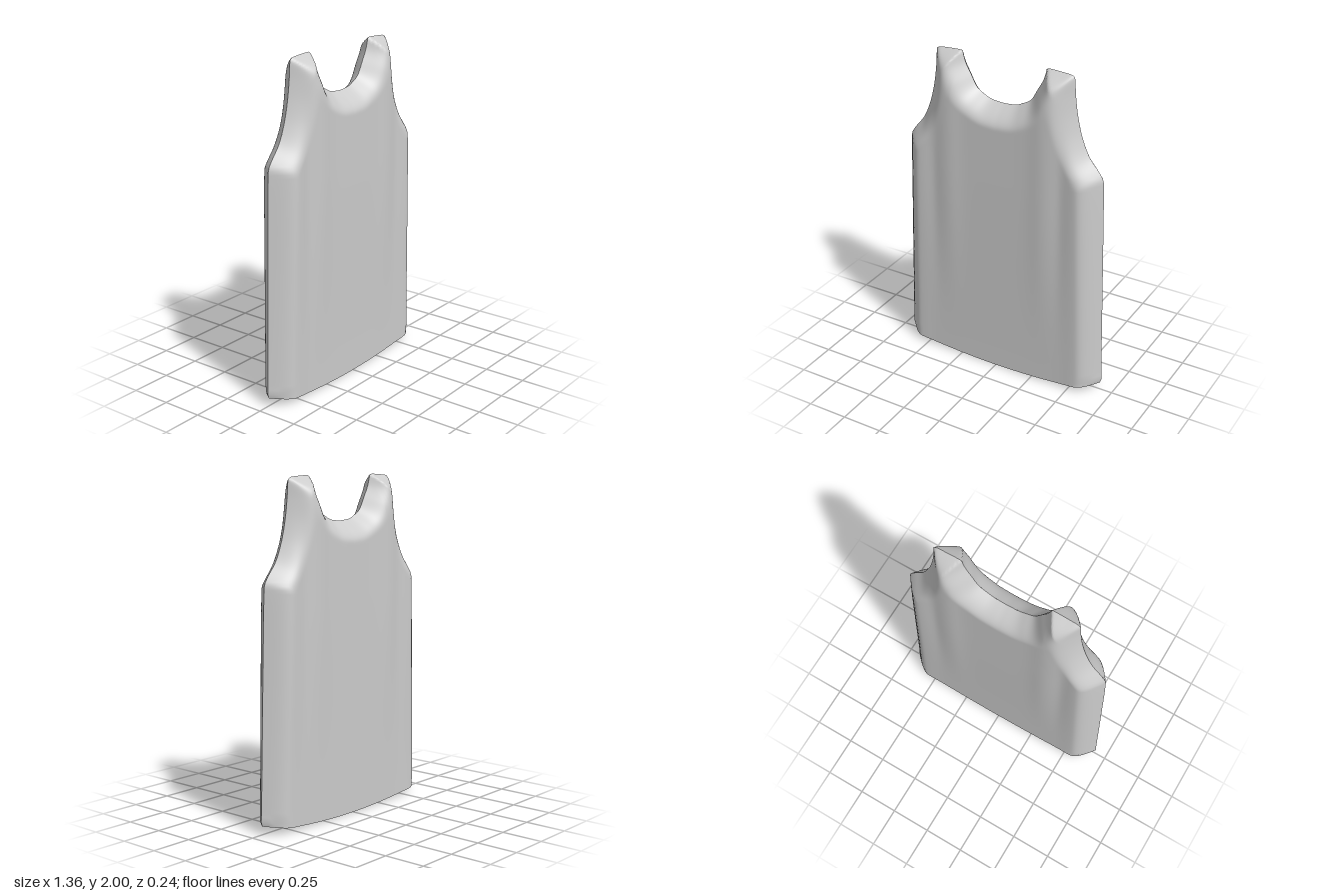
import * as THREE from 'three';

const curve = (pts) => new THREE.CatmullRomCurve3(
  pts.map(([x, y]) => new THREE.Vector3(x, y, 0)), false, 'centripetal');

// Outline of one half: neckline with shoulder, and side seam with armhole
const top = curve([[0, 1.735], [0.08, 1.743], [0.12, 1.76], [0.17, 1.79], [0.215, 1.865],
  [0.25, 1.93], [0.265, 1.98], [0.27, 1.998], [0.285, 2], [0.36, 1.997], [0.425, 1.99], [0.44, 1.98]]);
const side = curve([[0.67, 0.05], [0.679, 0.065], [0.677, 0.1], [0.658, 0.75], [0.638, 1.37], [0.634, 1.41],
  [0.605, 1.455], [0.545, 1.53], [0.5, 1.63], [0.468, 1.75], [0.45, 1.87], [0.443, 1.96], [0.44, 1.98]]);
const hem = (u) => new THREE.Vector3(0.67 * u, 0.002 + 0.048 * u * u, 0);
const middle = (v) => new THREE.Vector3(0, 0.002 + 1.733 * v, 0);

const topLine = top.getSpacedPoints(120);
const sideLine = side.getSpacedPoints(200);

// Shortest distance from a point to a polyline
function distance(p, line) {
  const q = new THREE.Vector3(), seg = new THREE.Line3();
  let best = Infinity;
  for (let i = 1; i < line.length; i++) {
    seg.set(line[i - 1], line[i]).closestPointToPoint(p, true, q);
    best = Math.min(best, p.distanceToSquared(q));
  }
  return Math.max(Math.sqrt(best), 1e-6);
}

// Puffed depth: rounds down to the seams, with soft vertical folds
function depth(p) {
  const a = distance(p, sideLine), b = distance(p, topLine);
  const d = Math.pow(a ** -4 + b ** -4, -0.25);
  const puff = Math.sin(Math.PI / 2 * Math.min(1, d / 0.125));
  const fade = THREE.MathUtils.smoothstep(p.y, 0.1, 1.3);
  const bump = (x, w) => Math.exp(-(((p.x - x) / w) ** 2));
  const full = 0.103 + 0.009 * fade + fade * (0.007 * bump(0.3, 0.07) - 0.007 * bump(0.42, 0.05))
    + 0.003 * bump(0.53, 0.06);
  return full * puff;
}

// Blend the four borders of the half panel into a grid of points
const NU = 44, NV = 90;
const ease = (t) => 0.4 * t + 0.6 * Math.sin(t * Math.PI / 2);
function halfGrid() {
  const grid = [];
  const c00 = hem(0), c10 = hem(1), c01 = middle(1), c11 = top.getPointAt(1);
  for (let j = 0; j <= NV; j++) {
    const v = ease(j / NV), row = [];
    const m = middle(v), s = side.getPointAt(v);
    for (let i = 0; i <= NU; i++) {
      const u = ease(i / NU);
      const p = hem(u).multiplyScalar(1 - v).addScaledVector(top.getPointAt(u), v)
        .addScaledVector(m, 1 - u).addScaledVector(s, u)
        .addScaledVector(c00, -(1 - u) * (1 - v)).addScaledVector(c10, -u * (1 - v))
        .addScaledVector(c01, -(1 - u) * v).addScaledVector(c11, -u * v);
      p.z = depth(p);
      row.push(p);
    }
    grid.push(row);
  }
  return grid;
}

// Mirror the half grid across x; dir is 1 for the front, -1 for the back
function panel(grid, dir) {
  const pos = [], idx = [], W = 2 * NU + 1;
  for (const row of grid) {
    for (let i = -NU; i <= NU; i++) {
      const p = row[Math.abs(i)];
      pos.push(Math.sign(i) * p.x, p.y, dir * p.z);
    }
  }
  for (let j = 0; j < NV; j++) {
    for (let i = 0; i < W - 1; i++) {
      const a = j * W + i, b = a + 1, c = a + W, d = c + 1;
      if (dir > 0) idx.push(a, b, d, a, d, c);
      else idx.push(a, d, b, a, c, d);
    }
  }
  const geo = new THREE.BufferGeometry();
  geo.setAttribute('position', new THREE.Float32BufferAttribute(pos, 3));
  geo.setIndex(idx);
  geo.computeVertexNormals();
  return geo;
}

export function createModel() {
  const group = new THREE.Group();
  group.name = 'tankTop';
  const cloth = new THREE.MeshStandardMaterial({ color: 0xcccccc, side: THREE.DoubleSide });
  const grid = halfGrid();
  for (const [name, dir] of [['frontPanel', 1], ['backPanel', -1]]) {
    const mesh = new THREE.Mesh(panel(grid, dir), cloth);
    mesh.name = name;
    group.add(mesh);
  }
  return group;
}
